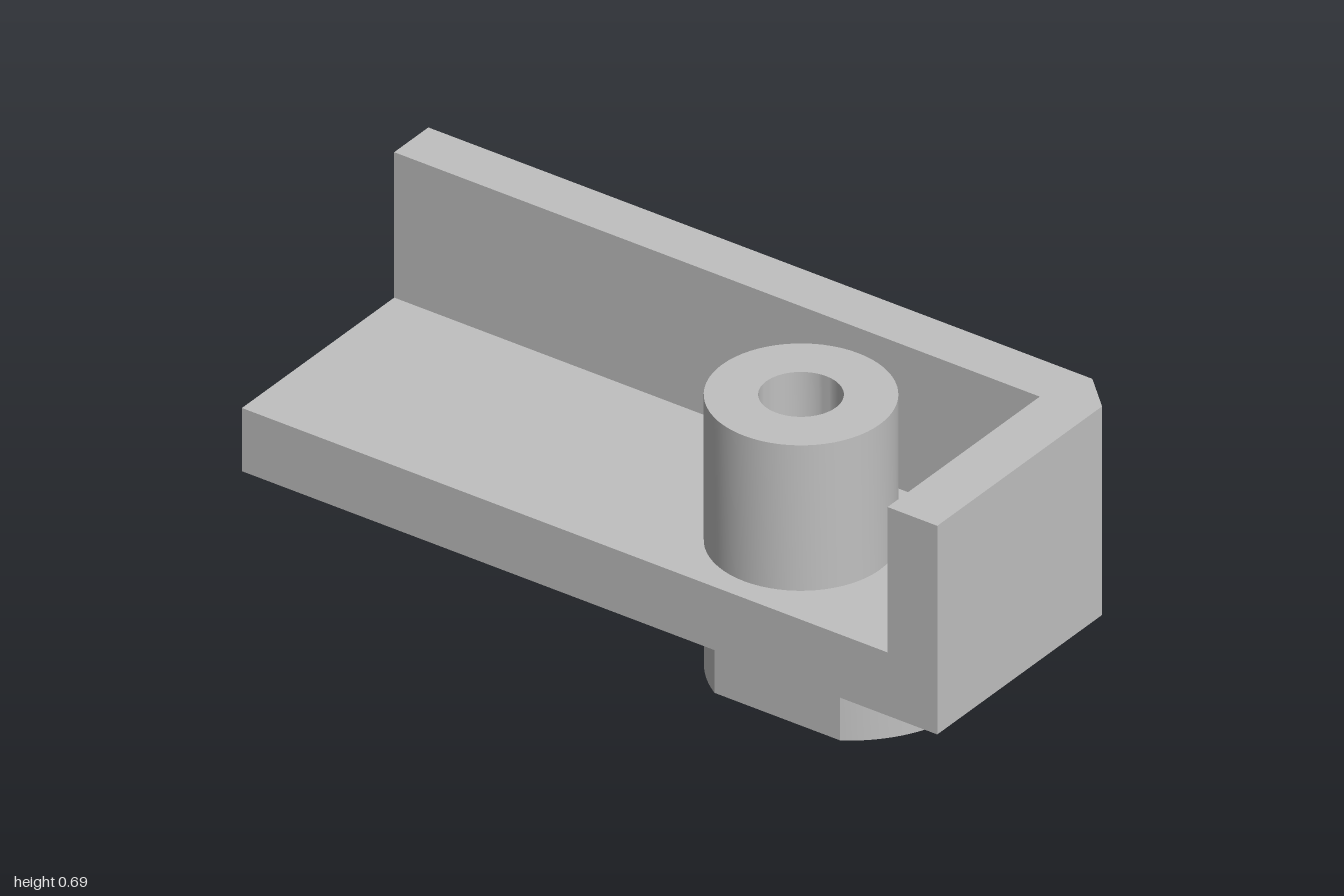
import * as THREE from 'three';
import { toCreasedNormals } from 'three/addons/utils/BufferGeometryUtils.js';

const BASE = 0.117, FLOOR = 0.29, TOP = 0.688; // heights
const FRONT = 0.371, BACK = -0.371;            // depth limits
const AXIS_Z = 0.083;                          // shared by boss and foot

// Vertical prism from a plan outline given as shape coordinates (x, -z)
function prism(shape, y0, y1) {
  const g = new THREE.ExtrudeGeometry(shape, { depth: y1 - y0, bevelEnabled: false, curveSegments: 64 });
  g.rotateX(-Math.PI / 2);
  g.translate(0, y0, 0);
  return toCreasedNormals(g, 0.5);
}

const plan = (points) => new THREE.Shape(points.map(([x, z]) => new THREE.Vector2(x, -z)));

export function createModel() {
  const group = new THREE.Group();
  const grey = new THREE.MeshStandardMaterial({ color: 0xc0c0c0 });
  grey.name = 'light grey';
  const add = (name, geometry) => {
    const mesh = new THREE.Mesh(geometry, grey);
    mesh.name = name;
    group.add(mesh);
    return mesh;
  };

  // Floor plate with one chamfered back corner
  add('floorPlate', prism(plan([
    [-1, FRONT], [1, FRONT], [1, -0.285], [0.91, BACK], [-1, BACK],
  ]), BASE, FLOOR));

  // L-shaped wall along the back and the left end
  add('cornerWall', prism(plan([
    [0.857, FRONT], [1, FRONT], [1, -0.285], [0.91, BACK],
    [-1, BACK], [-1, -0.235], [0.857, -0.235],
  ]), FLOOR, TOP));

  // Hollow boss standing on the floor
  const profile = [[0.227, FLOOR], [0.227, TOP], [0.1, TOP], [0.1, FLOOR]]
    .map(([r, y]) => new THREE.Vector2(r, y));
  const boss = add('boss', toCreasedNormals(new THREE.LatheGeometry(profile, 64), 0.5));
  boss.position.set(0.4, 0, AXIS_Z);

  // Round foot underneath, cut flat flush with the front
  const r = 0.34;
  const cut = Math.asin((FRONT - AXIS_Z) / r);
  const foot = new THREE.Shape();
  foot.absarc(0.54, -AXIS_Z, r, -cut, Math.PI + cut, false);
  foot.closePath();
  add('foot', prism(foot, 0, BASE));

  return group;
}
